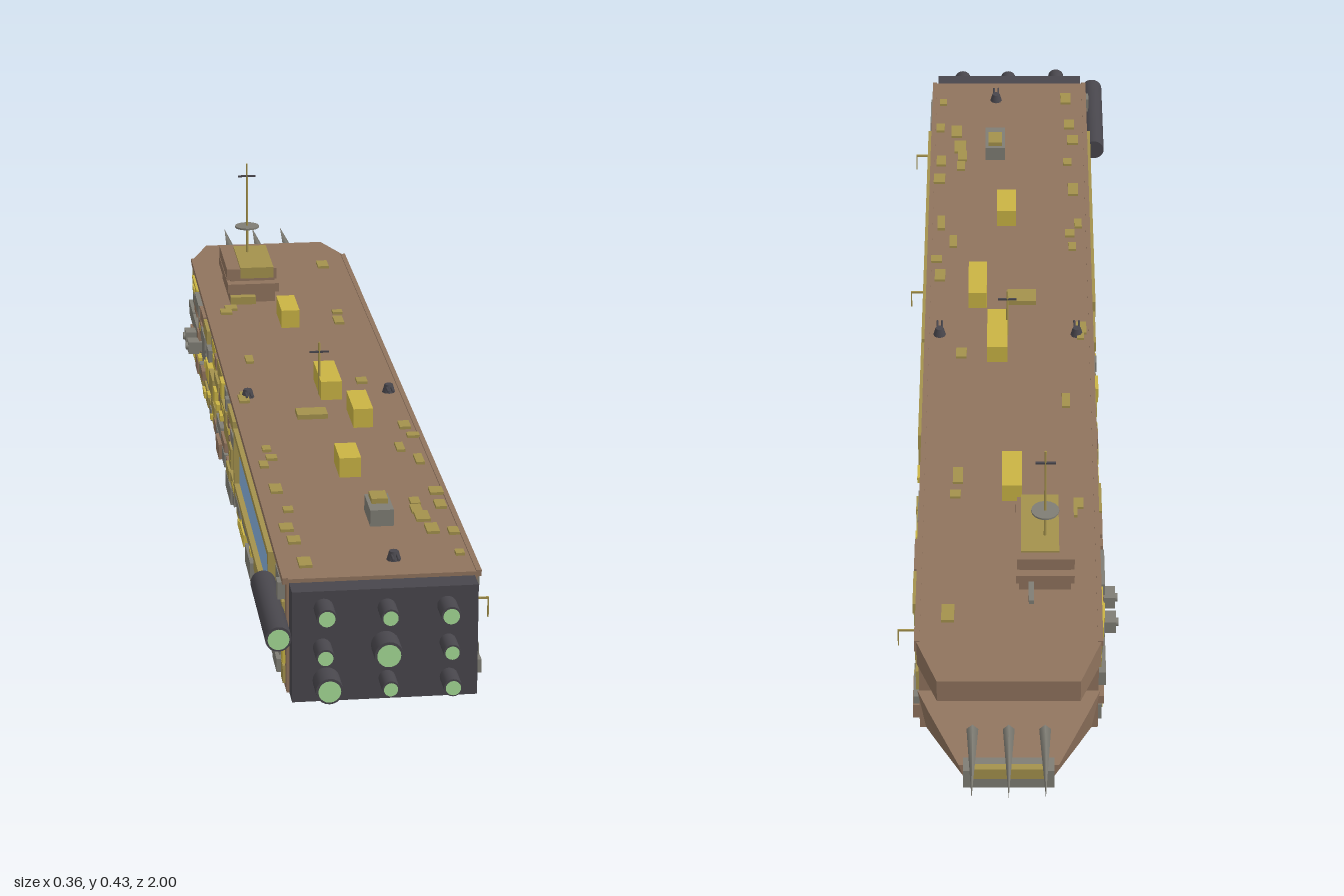
import * as THREE from 'three';

const mat = (color) => new THREE.MeshStandardMaterial({ color });
const M = {
  brown: mat(0x8f735d), olive: mat(0xa3914c), yellow: mat(0xc9b344), grey: mat(0x7f7d74),
  dark: mat(0x48464c), glass: mat(0x86b1de), glow: mat(0xa5dc96),
};

function add(parent, name, geo, m, x = 0, y = 0, z = 0) {
  const mesh = new THREE.Mesh(geo, m);
  mesh.name = name;
  mesh.position.set(x, y, z);
  parent.add(mesh);
  return mesh;
}
const box = (p, name, m, w, h, d, x, y, z) => add(p, name, new THREE.BoxGeometry(w, h, d), m, x, y, z);
const zCyl = (r0, r1, len, n = 20) => new THREE.CylinderGeometry(r0, r1, len, n).rotateX(Math.PI / 2);

// Joins matching rings (anticlockwise seen from +z), ordered from +z to -z
function loft(sections) {
  const v = [];
  const rings = sections.map(([z, pts]) => pts.map(([x, y]) => [x, y, z]));
  const tri = (...t) => t.forEach((p) => v.push(...p));
  const n = rings[0].length, last = rings[rings.length - 1];
  for (let s = 0; s < rings.length - 1; s++) {
    for (let i = 0; i < n; i++) {
      const j = (i + 1) % n, a = rings[s], b = rings[s + 1];
      tri(a[i], b[i], a[j]);
      tri(a[j], b[i], b[j]);
    }
  }
  for (let i = 1; i < n - 1; i++) {
    tri(rings[0][0], rings[0][i], rings[0][i + 1]);
    tri(last[0], last[i + 1], last[i]);
  }
  const g = new THREE.BufferGeometry();
  g.setAttribute('position', new THREE.Float32BufferAttribute(v, 3));
  g.computeVertexNormals();
  return g;
}
const trap = (wb, wt, y0, y1) => [[-wb, y0], [wb, y0], [wt, y1], [-wt, y1]];

let seed = 7;
const rnd = () => ((seed = (seed * 16807) % 2147483647) / 2147483647);

export function createModel() {
  const ship = new THREE.Group();
  ship.name = 'ship';
  const group = (name) => {
    const g = new THREE.Group();
    g.name = name;
    ship.add(g);
    return g;
  };

  // Hull, split bow and keel
  const hull = group('hull');
  box(hull, 'mainHull', M.brown, 0.28, 0.178, 1.61, 0, 0.111, 0.115);
  add(hull, 'upperBow', loft([[-0.69, trap(0.143, 0.143, 0.155, 0.2)], [-0.78, trap(0.11, 0.11, 0.16, 0.2)]]), M.brown);
  add(hull, 'lowerBow', loft([
    [-0.69, trap(0.13, 0.143, 0.022, 0.1)],
    [-0.73, trap(0.11, 0.125, 0.024, 0.092)],
    [-0.83, trap(0.07, 0.077, 0.05, 0.073)],
  ]), M.brown);
  add(hull, 'keel', loft([[0.86, trap(0.053, 0.09, 0, 0.023)], [-0.73, trap(0.053, 0.09, 0, 0.03)]]), M.brown);
  for (const s of [-1, 1]) box(hull, 'deckRim', M.brown, 0.008, 0.01, 1.61, s * 0.142, 0.197, 0.115);

  // Bow block and spikes
  const bow = group('bowFittings');
  box(bow, 'bowBlock', M.grey, 0.14, 0.034, 0.03, 0, 0.072, -0.845);
  box(bow, 'bowCap', M.olive, 0.11, 0.02, 0.012, 0, 0.088, -0.86);
  for (const x of [-0.055, 0, 0.055]) {
    const spike = add(bow, 'spike', new THREE.ConeGeometry(0.009, 0.15, 4), M.grey, x, 0.167, -0.925);
    spike.rotation.x = -Math.PI / 2;
  }

  // Engine plate and thrusters: x, y, radius
  const engines = group('engines');
  box(engines, 'enginePlate', M.dark, 0.272, 0.172, 0.04, 0, 0.108, 0.936);
  const thruster = (x, y, r, z0) => {
    add(engines, 'nozzle', zCyl(r, r, 0.998 - z0), M.dark, x, y, (z0 + 0.998) / 2);
    add(engines, 'engineGlow', new THREE.CircleGeometry(r * 0.83, 20), M.glow, x, y, 0.9995);
  };
  [
    [-0.09, 0.168, 0.0145], [0.002, 0.165, 0.0135], [0.09, 0.164, 0.0145],
    [-0.092, 0.107, 0.0135], [0, 0.107, 0.021], [0.092, 0.107, 0.0125],
    [-0.086, 0.055, 0.02], [0.003, 0.054, 0.0125], [0.094, 0.052, 0.0135],
  ].forEach(([x, y, r]) => thruster(x, y, r, 0.95));
  thruster(-0.16, 0.14, 0.019, 0.78);

  // Framed windows
  const windows = group('windows');
  const frameRect = (name, s, z0, z1, y0, y1, t, m) => {
    const d = z1 - z0, h = y1 - y0, zc = (z0 + z1) / 2, yc = (y0 + y1) / 2, x = s * 0.144;
    for (const y of [y0, y1]) box(windows, name, m, 0.016, t, d + t, x, y, zc);
    for (const z of [z0, z1]) box(windows, name, m, 0.016, h + t, t, x, yc, z);
  };
  const openings = [[1, 0.12, 0.77], [1, -0.15, 0.1], [-1, 0.23, 0.77]];
  for (const [s, z0, z1] of openings) {
    box(windows, 'windowPane', M.glass, 0.008, 0.088, z1 - z0, s * 0.1395, 0.134, (z0 + z1) / 2);
    frameRect('windowFrame', s, z0, z1, 0.089, 0.181, 0.01, M.olive);
  }
  frameRect('hatchFrame', 1, -0.52, -0.465, 0.09, 0.135, 0.007, M.yellow);

  // Patchwork side plating
  const plating = group('plating');
  const tones = [M.brown, M.grey, M.olive, M.brown, M.grey, M.yellow, M.grey, M.olive];
  const rows = [[0.028, 0.058], [0.06, 0.082], [0.09, 0.128], [0.132, 0.158], [0.162, 0.19]];
  for (const s of [-1, 1]) {
    rows.forEach(([y0, y1], row) => {
      let z = -0.68;
      while (z < 0.88) {
        const len = Math.min(0.025 + rnd() * 0.08, 0.905 - z), zc = z + len / 2;
        const blocked = row > 1 && openings.some((o) => o[0] === s && z + len > o[1] - 0.012 && z < o[2] + 0.012);
        const h = (y1 - y0) * (0.65 + rnd() * 0.35), depth = 0.006 + rnd() * 0.012;
        const tone = tones[Math.floor(rnd() * tones.length)];
        const y = y0 + h / 2 + (y1 - y0 - h) * rnd();
        if (!blocked && rnd() < 0.88) {
          box(plating, 'sidePlate', tone, depth, h, len - 0.006, s * (0.139 + depth / 4), y, zc);
          if (rnd() < 0.3) box(plating, 'smallPlate', M.yellow, 0.008, h * 0.4, len * 0.35, s * 0.147, y, zc);
        }
        z += len;
      }
    });
  }

  // Deck crates: x, z, width, length, height
  const deck = group('deck');
  [
    [-0.005, -0.3, 0.032, 0.09, 0.032], [0.02, 0.085, 0.035, 0.11, 0.032],
    [0.055, 0.235, 0.032, 0.095, 0.032], [0.005, 0.475, 0.034, 0.07, 0.032],
    [-0.022, 0.215, 0.05, 0.036, 0.008],
  ].forEach(([x, z, w, d, h]) => box(deck, 'crate', h < 0.02 ? M.olive : M.yellow, w, h, d, x, 0.2 + h / 2, z));
  box(deck, 'greyCrate', M.grey, 0.036, 0.026, 0.07, 0.026, 0.213, 0.69);
  box(deck, 'greyCrateTop', M.olive, 0.025, 0.008, 0.035, 0.026, 0.23, 0.68);
  for (let i = 0; i < 30; i++) {
    const x = (rnd() < 0.5 ? -1 : 1) * (0.08 + rnd() * 0.05);
    box(deck, 'deckPlate', M.olive, 0.012 + rnd() * 0.01, 0.005, 0.015 + rnd() * 0.025, x, 0.202, -0.66 + rnd() * 1.54);
  }

  // Deck turrets
  for (const [x, z] of [[-0.117, 0.11], [0.12, 0.11], [0.025, 0.86]]) {
    add(deck, 'turret', new THREE.CylinderGeometry(0.007, 0.011, 0.014, 8), M.dark, x, 0.207, z);
    for (const s of [-1, 1]) add(deck, 'turretBarrel', zCyl(0.002, 0.002, 0.03, 6), M.dark, x + s * 0.004, 0.209, z + 0.012);
  }

  // Command tower in stepped layers
  const tower = group('tower');
  box(tower, 'towerBase', M.brown, 0.082, 0.028, 0.15, -0.057, 0.212, -0.49);
  box(tower, 'towerMiddle', M.brown, 0.092, 0.016, 0.185, -0.057, 0.232, -0.487);
  box(tower, 'towerNeck', M.brown, 0.08, 0.006, 0.15, -0.057, 0.242, -0.49);
  box(tower, 'towerTop', M.brown, 0.09, 0.02, 0.155, -0.058, 0.253, -0.49);
  box(tower, 'towerRoof', M.olive, 0.06, 0.02, 0.14, -0.049, 0.256, -0.48);
  box(tower, 'towerSill', M.olive, 0.045, 0.014, 0.02, -0.075, 0.207, -0.41);
  box(tower, 'towerStub', M.grey, 0.008, 0.008, 0.05, -0.035, 0.225, -0.6);

  // Masts
  const mast = (x, z, y0, y1, yBar) => {
    const m = group('mast');
    add(m, 'mastPole', new THREE.CylinderGeometry(0.0018, 0.0025, y1 - y0, 6), M.olive, x, (y0 + y1) / 2, z);
    box(m, 'mastBar', M.dark, 0.032, 0.003, 0.003, x, yBar, z);
    return m;
  };
  const tall = mast(-0.057, -0.51, 0.26, 0.433, 0.41);
  add(tall, 'mastDisc', new THREE.CylinderGeometry(0.022, 0.022, 0.003, 16), M.grey, -0.057, 0.315, -0.51);
  mast(0.003, 0.11, 0.2, 0.292, 0.275);

  // Side pods and hooked aerials
  const sides = group('sideFittings');
  for (const z of [-0.53, -0.47]) {
    box(sides, 'podArm', M.grey, 0.02, 0.016, 0.016, -0.148, 0.102, z);
    box(sides, 'pod', M.grey, 0.02, 0.022, 0.03, -0.161, 0.102, z);
    add(sides, 'podTip', new THREE.CylinderGeometry(0.007, 0.007, 0.008, 10).rotateZ(Math.PI / 2), M.grey, -0.171, 0.102, z);
  }
  for (const z of [-0.56, 0.36, 0.805]) {
    box(sides, 'aerialArm', M.olive, 0.037, 0.003, 0.003, 0.158, 0.11, z);
    box(sides, 'aerialTip', M.olive, 0.002, 0.032, 0.003, 0.176, 0.095, z);
  }
  return ship;
}
